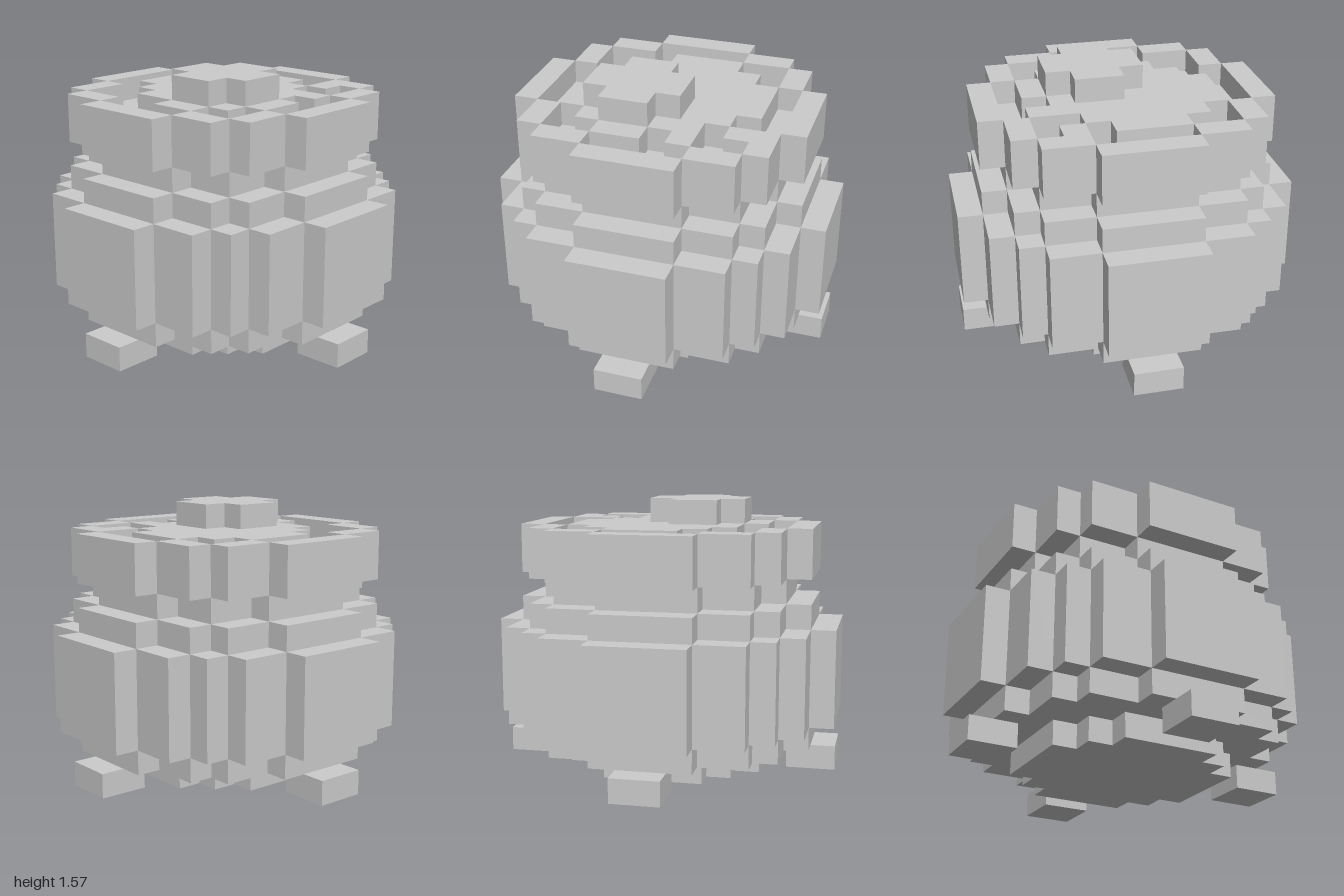
import * as THREE from 'three';

const U = 1 / 7; // size of one block
const material = new THREE.MeshStandardMaterial({ color: 0xcccccc, flatShading: true });

// Half widths of stepped discs, row by row from the centre outwards
const DISC = {
  4: [4, 4, 3, 2],
  5: [5, 5, 4, 4, 2],
  6: [6, 6, 5, 5, 4, 2],
  7: [7, 7, 6, 6, 5, 4, 2],
};

// Rows of [left, right] for a full symmetrical disc
function discRows(radius) {
  const half = DISC[radius].map((w) => [-w, w]);
  return [...half.slice().reverse(), ...half];
}

// Stepped outline around rows of blocks, the first row starting at z0
function outline(rows, z0) {
  const right = [], left = [];
  rows.forEach(([l, r], i) => {
    right.push([r, z0 + i], [r, z0 + i + 1]);
    left.unshift([l, z0 + i + 1], [l, z0 + i]);
  });
  return [...right, ...left]
    .filter((p, i, all) => i === 0 || p[0] !== all[i - 1][0] || p[1] !== all[i - 1][1])
    .map(([x, z]) => new THREE.Vector2(x * U, z * U));
}

// Upright slab with a stepped outline and an optional opening
function slab(name, points, bottom, top, hole) {
  const shape = new THREE.Shape(points);
  if (hole) shape.holes.push(new THREE.Path(hole));
  const geometry = new THREE.ExtrudeGeometry(shape, { depth: (top - bottom) * U, bevelEnabled: false });
  geometry.rotateX(Math.PI / 2).translate(0, top * U, 0);
  const mesh = new THREE.Mesh(geometry, material);
  mesh.name = name;
  return mesh;
}

const disc = (radius) => outline(discRows(radius), -radius);

function block(name, x, y, z, w, h, d) {
  const mesh = new THREE.Mesh(new THREE.BoxGeometry(w * U, h * U, d * U), material);
  mesh.position.set(x * U, y * U, z * U);
  mesh.name = name;
  return mesh;
}

export function createModel() {
  const group = new THREE.Group();
  group.name = 'cauldron';

  // Pot body, from the base up to the neck
  group.add(
    slab('base', disc(4), 0, 1),
    slab('lowerBelly', disc(6), 1, 2),
    slab('belly', disc(7), 2, 6),
    slab('shoulder', disc(6), 6, 7),
    slab('neck', disc(5), 7, 8),
  );

  // Open rim with the liquid inside
  group.add(slab('rim', disc(6), 8, 10, disc(5)));
  group.add(slab('liquid', disc(5), 8, 9));

  // Irregular foam floating on the liquid, with one loose piece
  const foam = [[-2, 1], [-3, 2], [-4, 4], [-4, 3], [-4, 4], [-3, 4], [-2, 3], [0, 2]];
  group.add(slab('foam', outline(foam, -4), 9, 10));
  group.add(block('looseFoam', 2.5, 9.5, -3.5, 1, 1, 1));

  // Bubble on top of the foam
  const bubble = [[0, 2], [-1, 3], [-1, 3], [0, 2]];
  group.add(slab('bubble', outline(bubble, -1), 10, 11));

  // Four feet on the axes
  for (const [x, z] of [[1, 0], [-1, 0], [0, 1], [0, -1]]) {
    group.add(block('foot', x * 6, 0.5, z * 6, 2, 1, 2));
  }
  return group;
}
